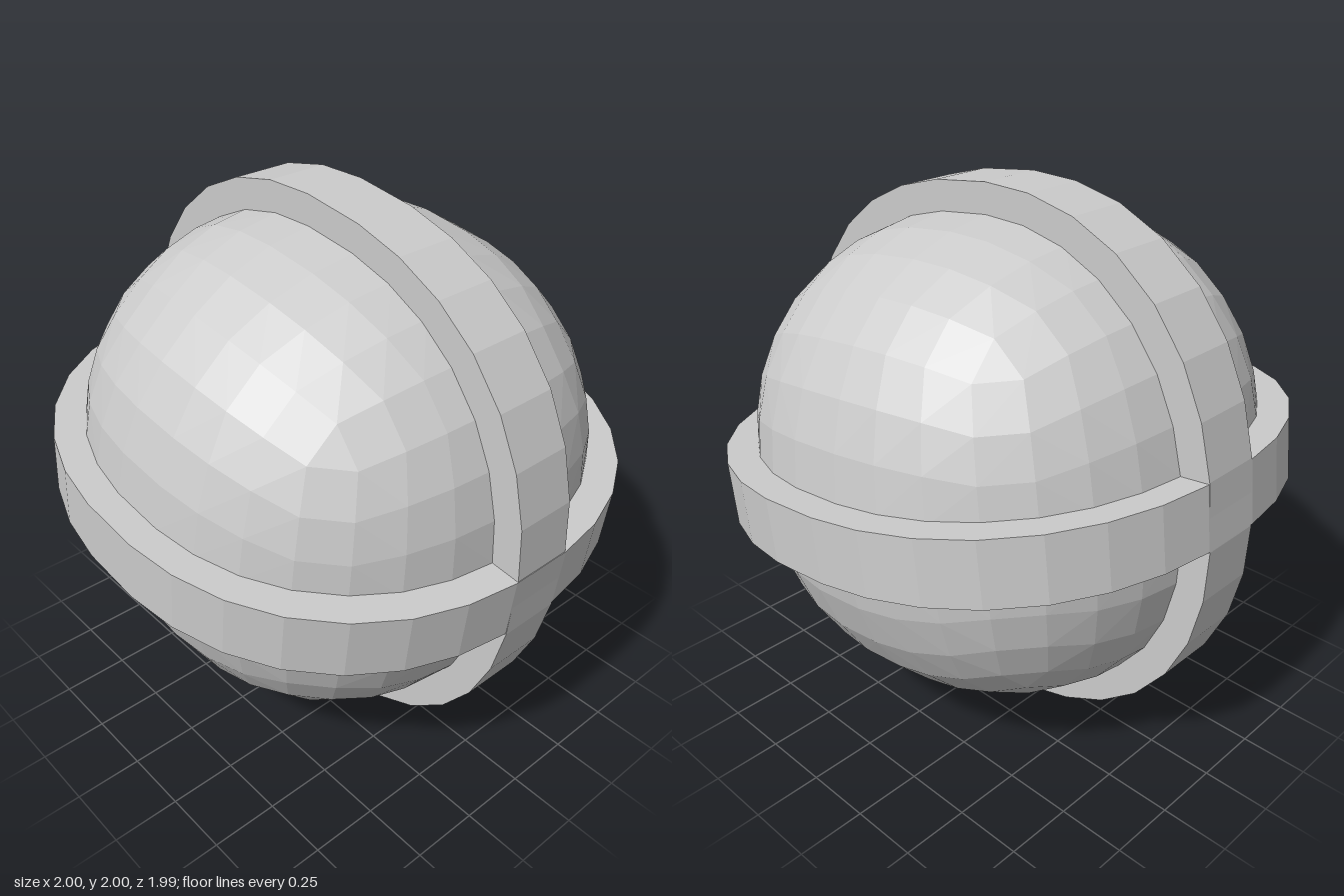
import * as THREE from 'three';
import { ConvexGeometry } from 'three/addons/geometries/ConvexGeometry.js';

const TILT = THREE.MathUtils.degToRad(-6.7);
const ANGLES = [7, 18, 28.8, 39.5].map(THREE.MathUtils.degToRad);
const POWER = 2.27; // slightly boxy sphere

// Point of the boxy sphere in direction (x, y, z)
function surfacePoint(x, y, z, size) {
  const d = new THREE.Vector3(x, y, z).normalize();
  const sum = Math.abs(d.x) ** POWER + Math.abs(d.y) ** POWER + Math.abs(d.z) ** POWER;
  const skew = 1 - 0.014 * d.x * d.y;
  return d.multiplyScalar(size * skew * sum ** (-1 / POWER));
}

// Faceted ball: a grid on each of six faces, joined by bevel strips
function ballGeometry(size) {
  const steps = [...ANGLES.map((a) => -Math.tan(a)).reverse(), ...ANGLES.map(Math.tan)];
  const points = [];
  for (const s of [-1, 1]) {
    for (const u of steps) {
      for (const v of steps) {
        points.push(surfacePoint(s, u, v, size), surfacePoint(u, s, v, size), surfacePoint(u, v, s, size));
      }
    }
  }
  return new ConvexGeometry(points);
}

// Outline of a band; "flat" picks the horizontal plane
function outline(size, flat) {
  const points = [];
  for (let q = 0; q < 4; q++) {
    const quarter = [...ANGLES, ...ANGLES.map((a) => Math.PI / 2 - a).reverse()];
    for (const a of quarter) {
      const t = a + (q * Math.PI) / 2;
      const c = Math.cos(t), s = Math.sin(t);
      const p = flat ? surfacePoint(c, 0, s, size) : surfacePoint(c, s, 0, size);
      points.push(new THREE.Vector2(p.x, flat ? p.z : p.y));
    }
  }
  return points;
}

// Square-edged band wrapped round the ball
function bandGeometry(flat) {
  const width = 0.234;
  const shape = new THREE.Shape(outline(0.997, flat));
  shape.holes.push(new THREE.Path(outline(0.85, flat)));
  const geometry = new THREE.ExtrudeGeometry(shape, { depth: width, bevelEnabled: false });
  geometry.translate(0, 0, -width / 2);
  if (flat) geometry.rotateX(Math.PI / 2);
  return geometry;
}

export function createModel() {
  const material = new THREE.MeshStandardMaterial({ color: 0xcccccc, flatShading: true });
  const model = new THREE.Group();
  model.name = 'bandedBall';
  const add = (name, geometry) => {
    const mesh = new THREE.Mesh(geometry, material);
    mesh.name = name;
    model.add(mesh);
  };

  add('ball', ballGeometry(0.892));
  add('uprightBand', bandGeometry(false));
  add('levelBand', bandGeometry(true));

  // The whole ball leans to one side
  model.rotation.z = TILT;
  model.position.y = 1;
  const root = new THREE.Group();
  root.name = 'model';
  root.add(model);
  return root;
}
